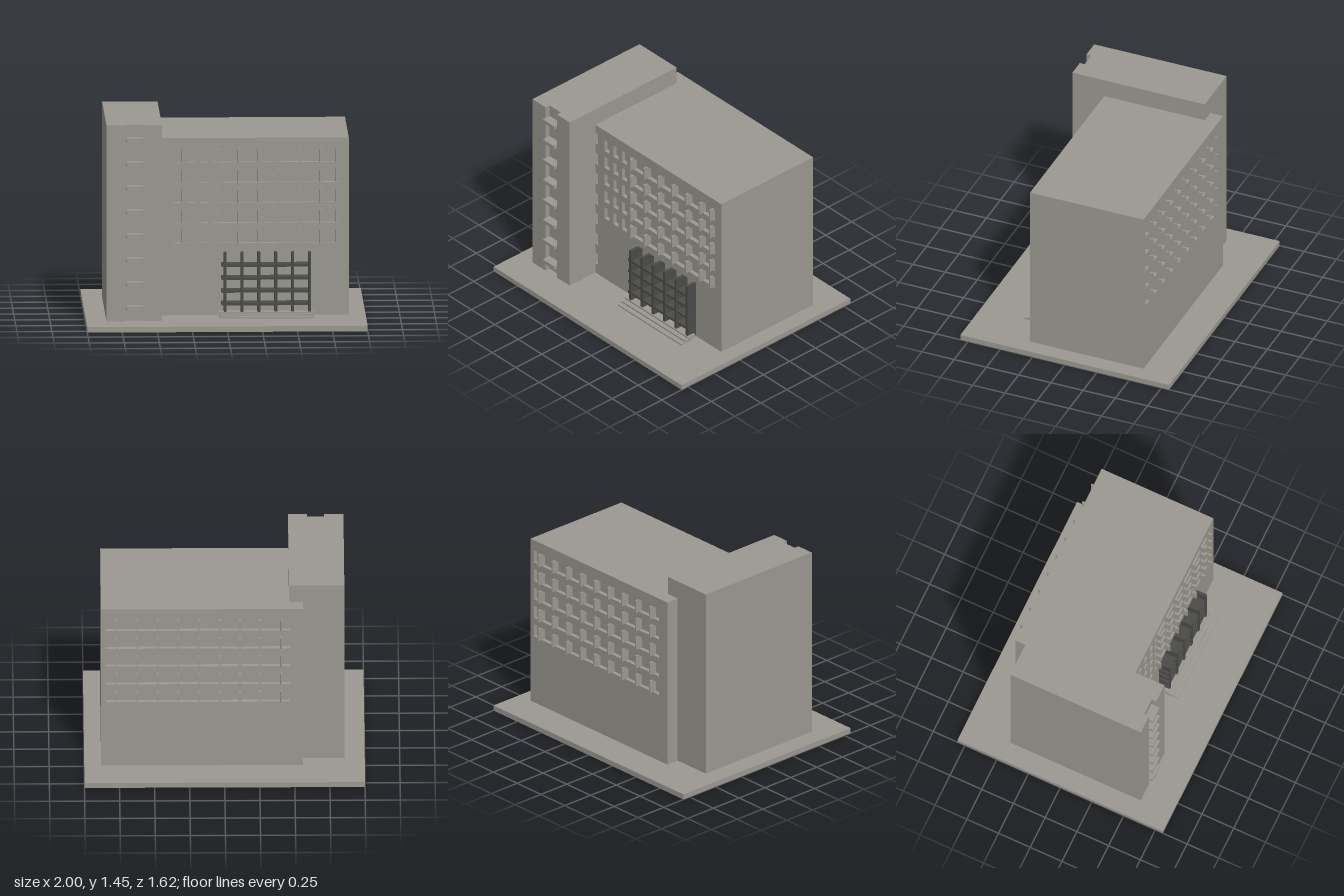
import * as THREE from 'three';

const concrete = new THREE.MeshStandardMaterial({ color: 0x9b9990 });
concrete.name = 'concrete';
const darkMetal = new THREE.MeshStandardMaterial({ color: 0x4b4c48 });
darkMetal.name = 'dark metal';

// Box given by its limits on each axis
function box(parent, name, x0, x1, y0, y1, z0, z1, material = concrete) {
  const mesh = new THREE.Mesh(new THREE.BoxGeometry(x1 - x0, y1 - y0, z1 - z0), material);
  mesh.position.set((x0 + x1) / 2, (y0 + y1) / 2, (z0 + z1) / 2);
  mesh.name = name;
  parent.add(mesh);
  return mesh;
}

function polygon(points, Type = THREE.Shape) {
  return new Type(points.map(([x, y]) => new THREE.Vector2(x, y)));
}

function rect(x0, x1, y0, y1, Type) {
  return polygon([[x0, y0], [x1, y0], [x1, y1], [x0, y1]], Type);
}

// Wall layer whose openings form shallow recesses against the core
function facade(parent, name, z, holes) {
  const shape = rect(-0.56, 0.88, 0.04, 1.32);
  shape.holes = holes.map((h) => rect(...h, THREE.Path));
  const geometry = new THREE.ExtrudeGeometry(shape, { depth: 0.03, bevelEnabled: false });
  const mesh = new THREE.Mesh(geometry, concrete);
  mesh.position.z = z;
  mesh.name = name;
  parent.add(mesh);
}

export function createModel() {
  const model = new THREE.Group();
  model.name = 'officeBuilding';

  box(model, 'groundSlab', -1, 1, 0, 0.04, -0.81, 0.81);

  // Main block: core with a pierced layer front and back
  const block = new THREE.Group();
  block.name = 'mainBlock';
  model.add(block);
  box(block, 'core', -0.56, 0.88, 0.04, 1.32, -0.53, 0.29);

  const rows = Array.from({ length: 5 }, (_, i) => 0.56 + i * 0.146);
  const frontHoles = [[-0.03, 0.61, 0.05, 0.5]];
  const backHoles = [];
  for (const y of rows) {
    for (const x of [-0.365, -0.27, -0.178]) frontHoles.push([x, x + 0.054, y, y + 0.095]);
    frontHoles.push([-0.09, 0.81, y, y + 0.095]);
    backHoles.push([-0.47, 0.845, y, y + 0.095]);
  }
  // Narrow windows beside the tower
  for (let i = 0; i < 7; i++) {
    const y = 0.12 + i * 0.1735;
    frontHoles.push([-0.49, -0.435, y, y + 0.095]);
  }
  facade(block, 'frontFacade', 0.29, frontHoles);
  facade(block, 'backFacade', -0.56, backHoles);

  // Sun fins across the window bands
  for (const y of rows) {
    for (const x of [-0.057, 0.09, 0.237, 0.384, 0.531, 0.678, 0.79]) {
      box(block, 'frontFin', x - 0.006, x + 0.006, y, y + 0.095, 0.29, 0.352);
    }
    for (let i = 0; i < 9; i++) {
      const x = -0.403 + i * 0.1465;
      box(block, 'backFin', x - 0.006, x + 0.006, y, y + 0.095, -0.59, -0.53);
    }
  }

  // Tower with a full-height groove in its front
  const tower = new THREE.Group();
  tower.name = 'tower';
  model.add(tower);
  const plan = polygon([
    [-0.855, 0.46], [-0.855, -0.567], [-0.715, -0.567], [-0.715, -0.53],
    [-0.595, -0.53], [-0.595, -0.567], [-0.46, -0.567], [-0.46, 0.46],
  ]);
  const towerGeometry = new THREE.ExtrudeGeometry(plan, { depth: 1.415, bevelEnabled: false });
  towerGeometry.rotateX(-Math.PI / 2);
  const shaft = new THREE.Mesh(towerGeometry, concrete);
  shaft.position.y = 0.04;
  shaft.name = 'towerShaft';
  tower.add(shaft);
  for (let i = 0; i < 8; i++) {
    const y = 0.122 + i * 0.1735;
    box(tower, 'towerLedge', -0.715, -0.595, y, y + 0.028, 0.53, 0.595);
  }

  // Entrance lattice
  const entrance = new THREE.Group();
  entrance.name = 'entrance';
  model.add(entrance);
  for (let i = 0; i < 6; i++) {
    const x = -0.003 + i * 0.1203;
    box(entrance, 'latticePost', x - 0.01, x + 0.01, 0.04, 0.5, 0.29, 0.4, darkMetal);
  }
  for (const y of [0.13, 0.222, 0.315, 0.408]) {
    box(entrance, 'latticeShelf', -0.03, 0.61, y - 0.009, y + 0.009, 0.29, 0.395, darkMetal);
  }

  // Entrance steps
  box(entrance, 'lowerStep', -0.047, 0.63, 0.04, 0.051, 0.425, 0.48);
  box(entrance, 'middleStep', -0.047, 0.63, 0.04, 0.063, 0.38, 0.442);
  box(entrance, 'upperStep', -0.047, 0.63, 0.055, 0.075, 0.345, 0.408);

  return model;
}
